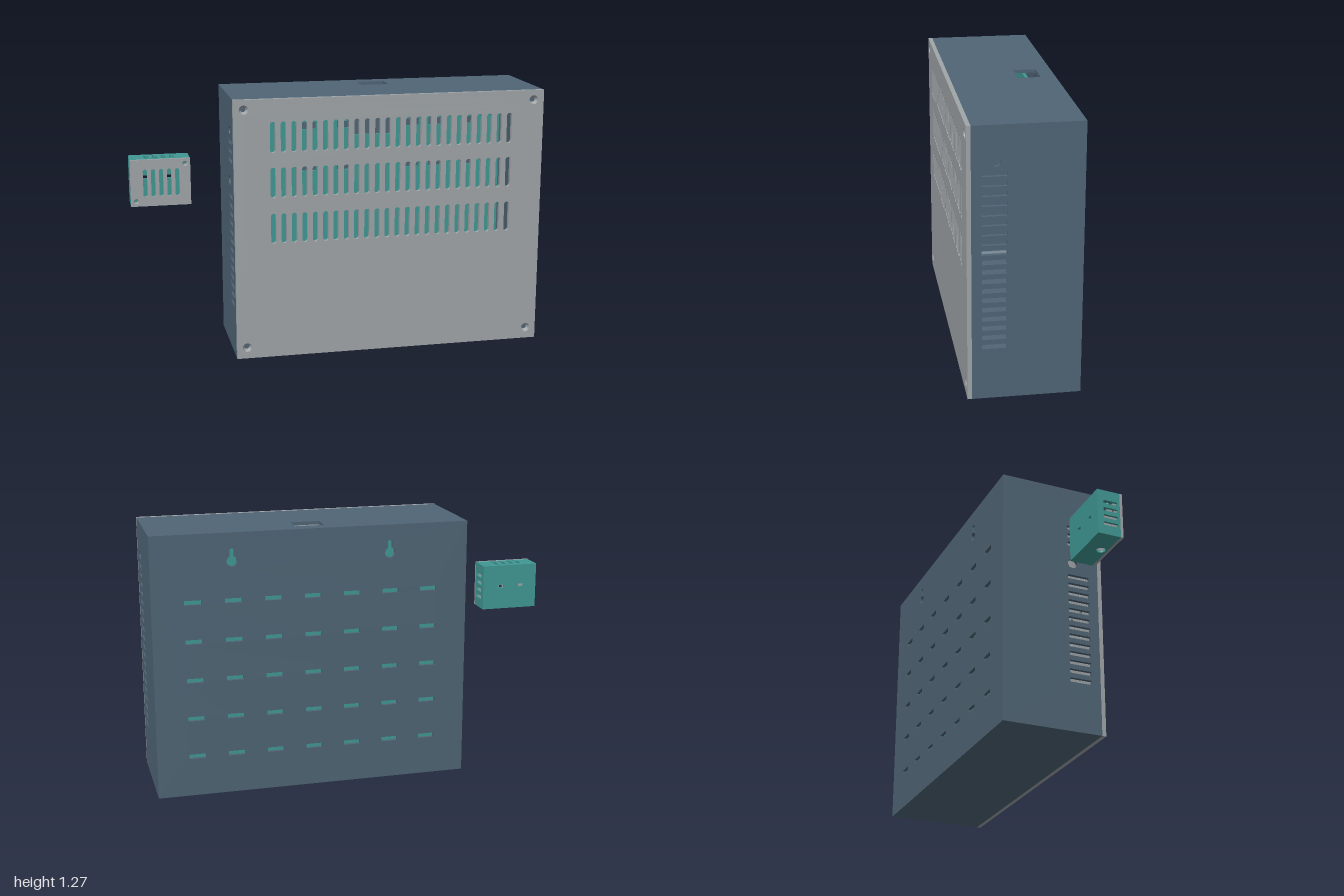
import * as THREE from 'three';

const mat = (color) => new THREE.MeshStandardMaterial({ color, side: THREE.DoubleSide });
const SLATE = mat(0x4f6575), TEAL = mat(0x409894), GREY = mat(0xa0a5a8), TAN = mat(0xb59a5c);

const range = (n, f) => Array.from({ length: n }, (_, i) => f(i));

// Hole outlines
function rect(x, y, w, h) {
  const p = new THREE.Path();
  p.moveTo(x - w / 2, y - h / 2);
  p.lineTo(x - w / 2, y + h / 2);
  p.lineTo(x + w / 2, y + h / 2);
  p.lineTo(x + w / 2, y - h / 2);
  p.closePath();
  return p;
}
function circle(x, y, r) {
  return new THREE.Path().absarc(x, y, r, 0, Math.PI * 2, true);
}
// Upright slot with rounded ends
function slot(x, y, w, h) {
  const p = new THREE.Path(), r = w / 2, s = h / 2 - r;
  p.absarc(x, y + s, r, 0, Math.PI, false);
  p.absarc(x, y - s, r, Math.PI, Math.PI * 2, false);
  p.closePath();
  return p;
}
// Wide round opening with a narrow neck above it
function keyhole(x, y) {
  const p = new THREE.Path(), a = 0.45;
  p.absarc(x, y, 0.025, Math.PI / 2 + a, Math.PI * 2.5 - a, false);
  p.absarc(x, y + 0.05, 0.011, 0, Math.PI, false);
  p.closePath();
  return p;
}

// Flat panel spanning [x0,x1] x [y0,y1], extruded along its normal
function panel(name, material, x0, x1, y0, y1, t, holes = []) {
  const s = new THREE.Shape();
  s.moveTo(x0, y0);
  s.lineTo(x1, y0);
  s.lineTo(x1, y1);
  s.lineTo(x0, y1);
  s.closePath();
  s.holes = holes;
  const geo = new THREE.ExtrudeGeometry(s, { depth: t, bevelEnabled: false, curveSegments: 8 });
  const m = new THREE.Mesh(geo, material);
  m.name = name;
  return m;
}

// Open-fronted shell; side holes use (-z, y), top and bottom holes use (x, -z)
function shell(name, material, b, t, holes) {
  const g = new THREE.Group();
  g.name = name;
  const back = panel('backWall', material, b.x0, b.x1, b.y0, b.y1, t, holes.back);
  back.position.z = b.z0;
  g.add(back);
  for (const [key, x] of [['left', b.x1 - t], ['right', b.x0]]) {
    const side = panel(key + 'Wall', material, -b.z1, -b.z0 - t, b.y0, b.y1, t, holes[key]);
    side.rotation.y = Math.PI / 2;
    side.position.x = x;
    g.add(side);
  }
  for (const [key, y] of [['top', b.y1 - t], ['bottom', b.y0]]) {
    const lid = panel(key + 'Wall', material, b.x0 + t, b.x1 - t, -b.z1, -b.z0 - t, t, holes[key]);
    lid.rotation.x = -Math.PI / 2;
    lid.position.y = y;
    g.add(lid);
  }
  return g;
}

// Countersunk screw seat in a cover, with a hollow post behind it
function screwSeat(x, y, zBack, zFront, zPost, rOut, rIn, postMat) {
  const g = new THREE.Group();
  g.name = 'screwSeat';
  const cone = new THREE.Mesh(
    new THREE.CylinderGeometry(rOut, rIn, zFront - zBack, 20, 1, true), GREY);
  cone.name = 'countersink';
  cone.rotation.x = Math.PI / 2;
  cone.position.set(x, y, (zBack + zFront) / 2);
  const post = new THREE.Mesh(
    new THREE.CylinderGeometry(rOut * 1.2, rOut * 1.2, zBack - zPost, 20), postMat);
  post.name = 'screwPost';
  post.rotation.x = Math.PI / 2;
  post.position.set(x, y, (zBack + zPost) / 2);
  g.add(cone, post);
  return g;
}

function mainEnclosure() {
  const g = new THREE.Group();
  g.name = 'mainEnclosure';

  // Vent positions
  const ventY = (i) => 1.054 - i * 0.0445;
  const sideVents = (skip) => range(19, (i) => i).filter((i) => !skip.includes(i))
    .map((i) => rect(-0.135, ventY(i), 0.11, 0.021));
  const backVents = range(35, (i) =>
    rect(-0.333 + (i % 7) * 0.19, 0.197 + Math.floor(i / 7) * 0.188, 0.08, 0.022));

  g.add(shell('enclosureBody', SLATE,
    { x0: -0.525, x1: 1, y0: 0, y1: 1.27, z0: -0.255, z1: 0.235 }, 0.016, {
      back: [...backVents, keyhole(0.62, 1.135), keyhole(-0.14, 1.135)],
      left: [circle(-0.13, 1.107, 0.021), ...sideVents([])],
      right: [circle(-0.13, 1.107, 0.021), circle(-0.105, 0.86, 0.025), ...sideVents([3, 4, 5])],
      top: [rect(0.235, 0.132, 0.14, 0.105)],
      bottom: [],
    }));

  // Front cover with three rows of vents
  const corners = [[-0.475, 0.055], [0.948, 0.055], [-0.475, 1.222], [0.948, 1.222]];
  const rows = [1.088, 0.869, 0.645];
  const cover = panel('frontCover', GREY, -0.525, 1, 0, 1.27, 0.02, [
    ...rows.flatMap((y) => range(24, (i) => slot(-0.339 + i * 0.0507, y, 0.025, 0.148))),
    ...corners.map(([x, y]) => circle(x, y, 0.022)),
  ]);
  cover.position.z = 0.235;
  g.add(cover);
  corners.forEach(([x, y]) => g.add(screwSeat(x, y, 0.235, 0.255, -0.24, 0.022, 0.012, SLATE)));

  // Inner mounting plate, pierced, with a gap below the socket opening
  const pierced = [0.63, 0.845, 1.06].flatMap((y) =>
    [-0.34, -0.09, 0.1, 0.45, 0.58, 0.76].map((x) => rect(x, y, 0.08, 0.036)));
  const plate = panel('mountingPlate', TEAL, -0.44, 0.92, 0.09, 1.2, 0.015,
    [...pierced, rect(0.244, 1.09, 0.2, 0.17)]);
  plate.position.z = -0.17;
  g.add(plate);

  // Small board behind the lower part of the cover
  const board = panel('innerBoard', TAN, 0.1, 0.4, 0.2, 0.4, 0.012);
  board.position.z = 0.17;
  g.add(board);
  return g;
}

function sensorBox() {
  const g = new THREE.Group();
  g.name = 'sensorBox';
  const sideVents = () => range(4, (i) => rect(-0.065, 0.81 + i * 0.037, 0.07, 0.017));
  g.add(shell('sensorBody', TEAL,
    { x0: -1, x1: -0.715, y0: 0.755, y1: 0.98, z0: 0, z1: 0.112 }, 0.011, {
      back: [rect(-0.92, 0.872, 0.03, 0.014), rect(-0.812, 0.872, 0.03, 0.014)],
      left: sideVents(),
      right: sideVents(),
      top: range(4, (i) => slot(-0.918 + i * 0.04, -0.065, 0.02, 0.07)),
      bottom: [circle(-0.86, -0.083, 0.022)],
    }));

  // Slotted cover with two diagonal screws
  const screws = [[-0.74, 0.955], [-0.975, 0.78]];
  const cover = panel('sensorCover', GREY, -1, -0.715, 0.755, 0.98, 0.013, [
    ...range(5, (i) => slot(-0.93 + i * 0.038, 0.867, 0.02, 0.133)),
    ...screws.map(([x, y]) => circle(x, y, 0.012)),
  ]);
  cover.position.z = 0.112;
  g.add(cover);
  screws.forEach(([x, y]) => g.add(screwSeat(x, y, 0.112, 0.125, 0.01, 0.012, 0.007, TEAL)));
  return g;
}

export function createModel() {
  const model = new THREE.Group();
  model.name = 'wallEnclosureWithSensorBox';
  model.add(mainEnclosure(), sensorBox());
  return model;
}
